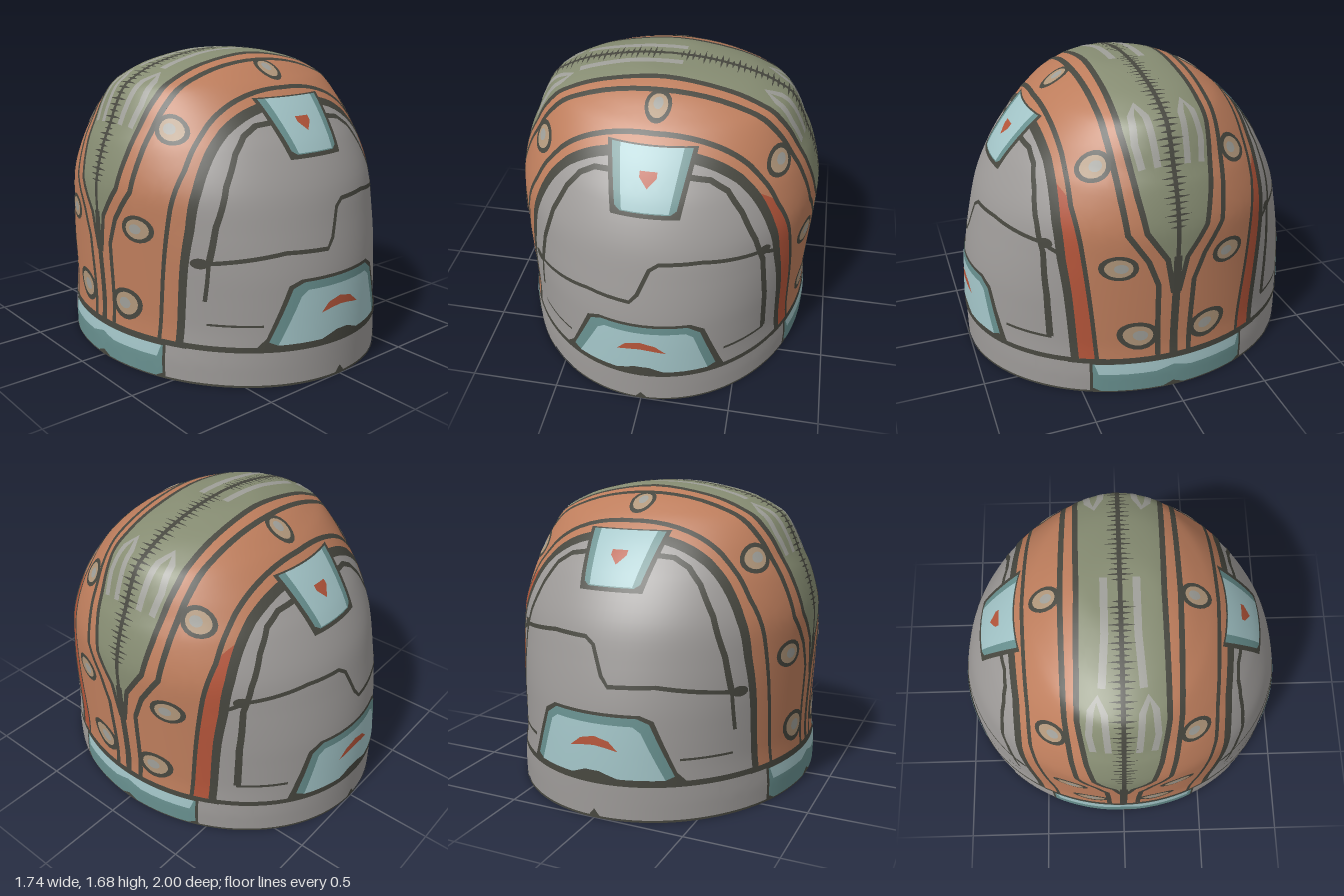
import * as THREE from 'three';

const paint = (name, color) => {
  const m = new THREE.MeshStandardMaterial({ color, side: THREE.DoubleSide });
  m.name = name;
  return m;
};
const M = {
  gray: paint('shellGray', 0x9d9a98), orange: paint('bandOrange', 0xbd7d5c), dark: paint('lineDark', 0x47473f),
  teal: paint('plateTeal', 0xa2c4c7), deepTeal: paint('edgeTeal', 0x68908f), red: paint('stripeRed', 0xb4553a),
  olive: paint('crestOlive', 0x868c72), tan: paint('boltTan', 0xb0967a), pale: paint('highlightPale', 0x9f9f99),
};

// Dome profile: half width in x, height, half depth in z
const TOP = 1.675;
const profile = new THREE.CatmullRomCurve3([
  [.848, 0, .993], [.851, .1, .993], [.842, .2, .992], [.835, .3, .988], [.84, .45, .978], [.85, .6, .962], [.86, .8, .922],
  [.86, 1, .868], [.81, 1.2, .768], [.765, 1.3, .698], [.725, 1.4, .613], [.665, 1.5, .508], [.59, 1.55, .44],
  [.48, 1.6, .36], [.29, 1.647, .25], [.17, 1.665, .18], [0, TOP, 0],
].map(p => new THREE.Vector3(...p)), false, 'centripetal').getPoints(140);

function sizeAt(y) {
  let lo = 0, hi = profile.length - 1;
  if (y <= 0) return [profile[0].x, profile[0].z];
  if (y >= TOP) return [1e-4, 1e-4];
  while (hi - lo > 1) {
    const mid = (lo + hi) >> 1;
    if (profile[mid].y <= y) lo = mid; else hi = mid;
  }
  const a = profile[lo], b = profile[hi], k = (y - a.y) / Math.max(b.y - a.y, 1e-6);
  return [Math.max(a.x + (b.x - a.x) * k, 1e-4), Math.max(a.z + (b.z - a.z) * k, 1e-4)];
}
const field = (x, y, z) => {
  const [X, Z] = sizeAt(y);
  return (x / X) ** 2 + (z / Z) ** 2 - 1;
};
function normalAt(p) {
  if (p.y > TOP - .002) return new THREE.Vector3(0, 1, 0);
  const [X, Z] = sizeAt(p.y), h = .004;
  const dy = (field(p.x, p.y + h, p.z) - field(p.x, p.y - h, p.z)) / (2 * h);
  return new THREE.Vector3(2 * p.x / X ** 2, Math.max(dy, 0), 2 * p.z / Z ** 2).normalize();
}

// Ways to lay flat shapes on the dome: [x, y] from the front, [z, y] from the side,
// and [z, arc] along the band that runs over the top
const ARC = .015;
const rays = {
  front: (a, b) => [new THREE.Vector3(a, b, 0), new THREE.Vector3(0, 0, 1)],
  side: (a, b) => [new THREE.Vector3(0, b, a), new THREE.Vector3(1, 0, 0)],
  band: (a, b) => {
    const t = THREE.MathUtils.degToRad(b / ARC);
    return [new THREE.Vector3(0, .8, a), new THREE.Vector3(Math.cos(t), Math.sin(t), 0)];
  },
};
function project(view, a, b) {
  const [o, d] = rays[view](a, b), p = new THREE.Vector3();
  let lo = 0, hi = 1.4;
  for (let i = 0; i < 26; i++) {
    const mid = (lo + hi) / 2;
    p.copy(o).addScaledVector(d, mid);
    if (p.y < TOP && field(p.x, p.y, p.z) < 0) lo = mid; else hi = mid;
  }
  p.y = Math.max(p.y, 0);
  return p;
}

// Closed outline of a line of even width
function stroke(pts, w) {
  const left = [], right = [];
  pts.forEach((p, i) => {
    const a = pts[Math.max(i - 1, 0)], b = pts[Math.min(i + 1, pts.length - 1)];
    const dx = b[0] - a[0], dy = b[1] - a[1], l = Math.hypot(dx, dy);
    left.push([p[0] - dy / l * w / 2, p[1] + dx / l * w / 2]);
    right.unshift([p[0] + dy / l * w / 2, p[1] - dx / l * w / 2]);
  });
  return [...left, ...right];
}
const arc = pts => pts.map(([z, deg]) => [z, deg * ARC]);
const oval = (cx, cy, rx, ry) => Array.from({ length: 18 }, (_, i) => {
  const t = i / 18 * Math.PI * 2;
  return [cx + rx * Math.cos(t), cy + ry * Math.sin(t)];
});

// Paints outlines on both faces of the shell, mirrored as asked ('x', 'z', 'xz')
function decal(group, name, mat, layer, view, outlines, mirror) {
  const pos = [], nor = [];
  const emit = tri => {
    for (const sx of mirror.includes('x') ? [1, -1] : [1]) for (const sz of mirror.includes('z') ? [1, -1] : [1]) {
      const s = new THREE.Vector3(sx, 1, sz);
      const P = tri.map(v => v.p.clone().multiply(s)), N = P.map(normalAt);
      const face = P[1].clone().sub(P[0]).cross(P[2].clone().sub(P[0]));
      const order = face.dot(N[0]) < 0 ? [0, 2, 1] : [0, 1, 2];
      for (const side of [1, -1]) for (const i of order) {
        const q = P[i].clone().addScaledVector(N[i], side * layer * .0016);
        pos.push(q.x, Math.max(q.y, 0), q.z);
        nor.push(N[i].x, N[i].y, N[i].z);
      }
    }
  };
  const point = (a, b) => ({ a, b, p: project(view, a, b) });
  // Halves edges until they follow the curve of the dome
  const split = (tri, depth) => {
    let best = 0, k = -1, m;
    tri.forEach((u, i) => {
      const v = tri[(i + 1) % 3], len = u.p.distanceTo(v.p);
      if (len <= best || len < .02) return;
      const mid = point((u.a + v.a) / 2, (u.b + v.b) / 2);
      const sag = mid.p.distanceTo(u.p.clone().lerp(v.p, .5));
      if (len > .14 || sag > .0009) { best = len; k = i; m = mid; }
    });
    if (k < 0 || depth > 12) return emit(tri);
    const u = tri[k], v = tri[(k + 1) % 3], w = tri[(k + 2) % 3];
    split([u, m, w], depth + 1);
    split([m, v, w], depth + 1);
  };
  for (const o of outlines) {
    const contour = o.map(p => new THREE.Vector2(...p));
    for (const f of THREE.ShapeUtils.triangulateShape(contour, [])) split(f.map(i => point(contour[i].x, contour[i].y)), 0);
  }
  const g = new THREE.BufferGeometry();
  g.setAttribute('position', new THREE.Float32BufferAttribute(pos, 3));
  g.setAttribute('normal', new THREE.Float32BufferAttribute(nor, 3));
  const mesh = new THREE.Mesh(g, mat);
  mesh.name = name;
  group.add(mesh);
}

// Open dome made of elliptical rings
function shell() {
  const N = 112, pos = [], nor = [], idx = [];
  const rows = profile.filter((_, i) => i % 2 === 0);
  rows.forEach((r, j) => {
    for (let i = 0; i <= N; i++) {
      const t = i / N * Math.PI * 2, p = new THREE.Vector3(r.x * Math.sin(t), r.y, r.z * Math.cos(t));
      pos.push(...p.toArray());
      nor.push(...normalAt(p).toArray());
      if (j && i) {
        const d = j * (N + 1) + i, c = d - 1, b = d - N - 1, a = b - 1;
        idx.push(a, b, d, a, d, c);
      }
    }
  });
  const g = new THREE.BufferGeometry();
  g.setAttribute('position', new THREE.Float32BufferAttribute(pos, 3));
  g.setAttribute('normal', new THREE.Float32BufferAttribute(nor, 3));
  g.setIndex(idx);
  const mesh = new THREE.Mesh(g, M.gray);
  mesh.name = 'domeShell';
  return mesh;
}

export function createModel() {
  const group = new THREE.Group();
  group.name = 'dome';
  group.add(shell());
  const add = (...args) => decal(group, ...args);

  // Band over the top, with its border, stripe and inner lines
  const border = [[.525, -39.5], [.55, -13], [.57, 3], [.578, 20], [.57, 35], [.565, 48], [.58, 70], [.585, 90]];
  const seam = [[.415, -38], [.45, -13], [.48, 10], [.505, 26], [.5, 47], [.52, 90]];
  const inner = [[.09, -35], [.1, -8], [.155, 2], [.26, 13], [.28, 26], [.3, 47], [.31, 90]];
  const crest = [[.015, -12], [.055, 2], [.165, 13], [.2, 26], [.235, 47], [.225, 90]];
  add('band', M.orange, 1, 'band', [arc([[0, -48], [.525, -48], ...border, [0, 90]])], 'xz');
  add('redStripe', M.red, 2, 'band', [arc([[.525, -39], [.55, -13], [.57, 3], [.578, 20], [.57, 35], [.55, 36], [.51, 29], [.48, 10], [.45, -13], [.415, -38]])], 'z');
  add('bandBorder', M.dark, 3, 'band', [stroke(arc(border), .04)], 'xz');
  add('bandLines', M.dark, 3, 'band', [stroke(arc(seam), .022), stroke(arc(inner), .03)], 'xz');
  add('crest', M.olive, 2, 'band', [arc([[0, -12], ...crest, [0, 90]])], 'xz');
  add('crestEdge', M.dark, 3, 'band', [stroke(arc(crest), .03)], 'xz');
  add('shoulderHighlights', M.pale, 3, 'band', [
    stroke(arc([[.16, 34], [.178, 42], [.165, 51], [.13, 55], [.095, 50], [.08, 34]]), .036)], 'xz');
  add('topHighlights', M.pale, 3, 'band', [stroke(arc([[.085, 85], [.085, 105], [.105, 122]]), .04)], 'z');

  // Central seam with short stitches
  add('centreSeam', M.dark, 4, 'band', [
    stroke(arc([[0, -36], [0, 3]]), .045), stroke(arc([[0, 3], [0, 30], [0, 90]]), .024)], 'x');
  const stitches = [];
  for (let d = 14, i = 0; d < 88; d += 2, i++) {
    const r = .045 + .015 * (i % 3);
    stitches.push(arc([[-r, d], [0, d - .5], [r, d], [0, d + .5]]));
  }
  add('stitches', M.dark, 4, 'band', stitches, 'x');

  // Bolts: [z, angle, half widths]
  const bolts = [[.38, 38.5, .085, .085], [.305, 0, .1, .078], [.2, -28, .115, .075], [.395, 90, .085, .078]];
  const ovals = (k, shift = 0) => bolts.map(([z, d, a, b]) => oval(z + shift, d * ARC, a * k, b * k));
  add('boltRims', M.dark, 4, 'band', ovals(1), 'xz');
  add('bolts', M.tan, 5, 'band', ovals(.72), 'xz');
  add('boltCentres', M.pale, 5.5, 'band', ovals(.36, -.012), 'xz');

  // Lower rim with side bumpers
  add('rimSides', M.gray, 2.5, 'side', [[[-.72, 0], [.72, 0], [.72, .2], [-.72, .2]]], 'x');
  add('rimLineSides', M.dark, 4.5, 'side', [
    stroke([[-.56, .205], [.56, .205]], .03), stroke([[-.72, .006], [.72, .006]], .012),
    [[-.455, 0], [.455, 0], [.455, .2], [-.455, .2]]], 'x');
  add('bumpers', M.deepTeal, 5.2, 'side', [[[-.44, .03], [-.4, .008], [-.06, .008], [0, .035], [.06, .008], [.4, .008], [.44, .03], [.44, .185], [-.44, .185]]], 'x');
  add('bumperTops', M.teal, 5.7, 'side', [[[-.41, .12], [-.1, .12], [0, .145], [.1, .12], [.41, .12], [.43, .185], [-.43, .185]]], 'x');
  add('rimLine', M.dark, 4, 'front', [
    stroke([[-.72, .208], [.72, .208]], .03), stroke([[-.66, .006], [.66, .006]], .012),
    [[-.04, 0], [.04, 0], [0, .05]]], 'z');

  // Panel lines on the front and back faces
  add('panelLines', M.dark, 2, 'front', [
    stroke([[-.67, .655], [-.3, .71], [-.06, .7], [-.02, .75], [.04, .9], [.09, .935], [.3, .94], [.59, .905], [.67, .86]], .022),
    stroke([[-.62, .66], [-.585, .85], [-.52, 1.05], [-.44, 1.2], [-.37, 1.28], [-.29, 1.325], [-.19, 1.335]], .024),
    stroke([[-.635, .46], [-.62, .66]], .014),
    stroke([[.19, 1.335], [.31, 1.315], [.4, 1.26], [.48, 1.15], [.56, .99], [.605, .85], [.63, .6], [.635, .34]], .024),
    stroke([[.64, .335], [.44, .335]], .016),
    stroke([[-.63, .335], [-.42, .335]], .012),
    oval(-.65, .66, .03, .028), oval(.608, .905, .03, .028),
  ], 'z');

  // Lower plate
  add('lowerPlateOutline', M.dark, 3, 'front', [[[-.47, .2], [-.41, .27], [-.3, .54], [-.235, .568], [.265, .568], [.335, .525], [.42, .28], [.45, .2]]], 'z');
  add('lowerPlateEdge', M.deepTeal, 4.2, 'front', [[[-.4, .25], [-.28, .525], [-.22, .552], [.25, .552], [.315, .505], [.4, .25], [.36, .23], [.13, .23], [.05, .262], [-.03, .262], [-.13, .23], [-.36, .23]]], 'z');
  add('lowerPlate', M.teal, 5, 'front', [[[-.36, .23], [-.24, .48], [-.2, .51], [.24, .51], [.28, .48], [.36, .23], [.13, .23], [.05, .262], [-.03, .262], [-.13, .23]]], 'z');
  add('lowerMark', M.red, 5.5, 'front', [[[-.13, .375], [-.08, .425], [0, .445], [.08, .425], [.14, .375], [.06, .39], [0, .397], [-.06, .39]]], 'z');

  // Upper plate
  add('upperPlateOutline', M.dark, 3.5, 'front', [[[-.235, 1.45], [.235, 1.45], [.18, 1.155], [-.18, 1.155]]], 'z');
  add('upperPlateEdge', M.deepTeal, 4.3, 'front', [[[-.21, 1.443], [.21, 1.443], [.16, 1.195], [.13, 1.175], [-.13, 1.175], [-.16, 1.195]]], 'z');
  add('upperPlate', M.teal, 5, 'front', [[[-.165, 1.443], [.165, 1.443], [.122, 1.18], [-.122, 1.18]]], 'z');
  add('upperMark', M.red, 5.5, 'front', [[[-.045, 1.35], [.045, 1.35], [.045, 1.325], [0, 1.28], [-.045, 1.325]]], 'z');
  return group;
}
